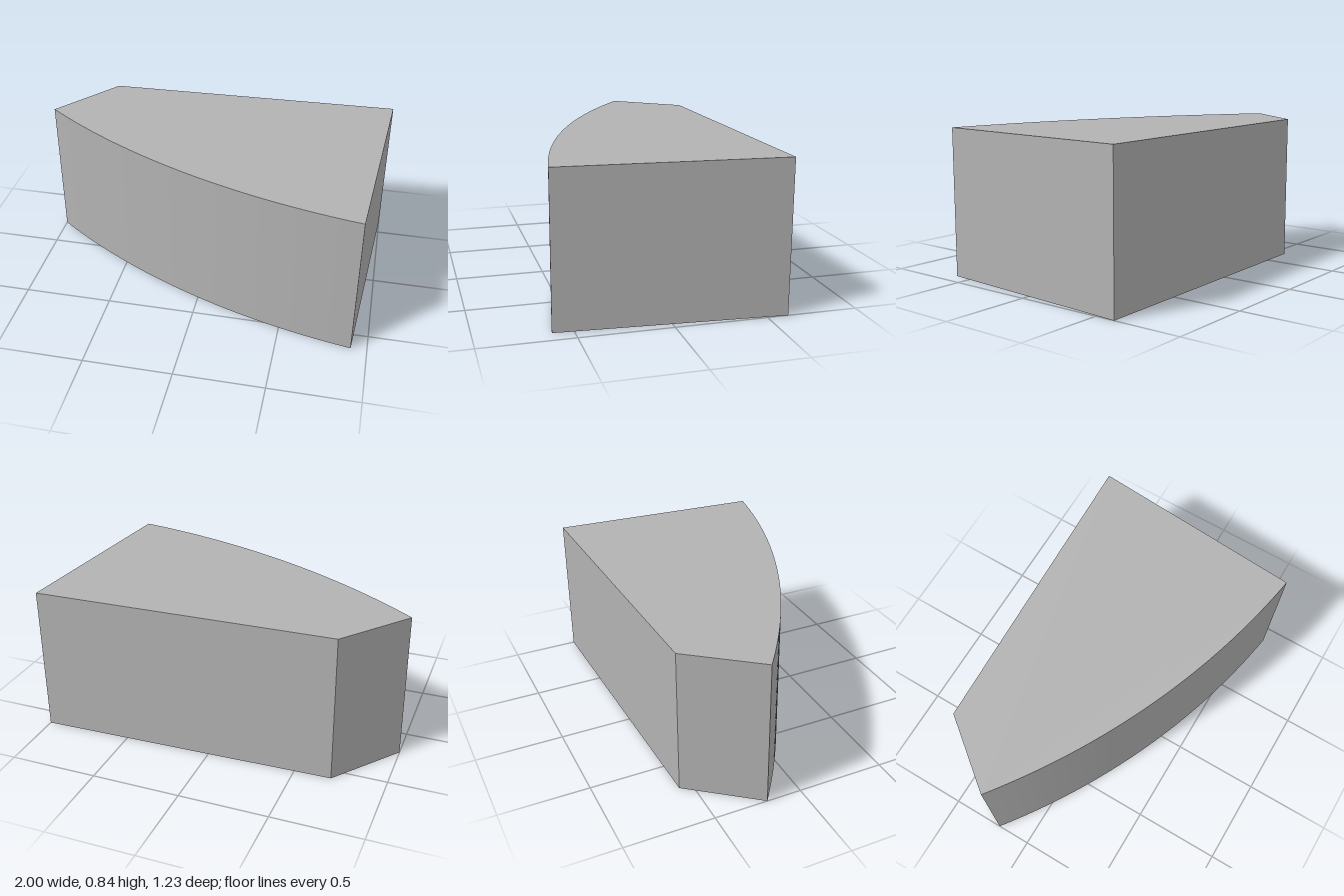
import * as THREE from 'three';

export function createModel() {
  const group = new THREE.Group();
  const grey = new THREE.MeshStandardMaterial({ color: 0xb2b2b2 });
  grey.name = 'grey';

  // Footprint in plan; shape y is -z
  const start = new THREE.Vector2(-1, 0.198);
  const end = new THREE.Vector2(0.911, -0.612);
  const bulge = 0.128; // height of the curved front wall's arc over its chord

  // Circle through both ends of the curved wall
  const chord = end.clone().sub(start);
  const half = chord.length() / 2;
  const radius = (half * half + bulge * bulge) / (2 * bulge);
  const inward = new THREE.Vector2(-chord.y, chord.x).normalize();
  const centre = start.clone().add(end).multiplyScalar(0.5).addScaledVector(inward, radius - bulge);
  const angleTo = (p) => Math.atan2(p.y - centre.y, p.x - centre.x);

  const plan = new THREE.Shape();
  plan.moveTo(start.x, start.y);
  plan.absarc(centre.x, centre.y, radius, angleTo(start), angleTo(end), false);
  plan.lineTo(1, 0.615);
  plan.lineTo(-0.706, 0.572);
  plan.closePath();

  // Upright block with one curved wall
  const geometry = new THREE.ExtrudeGeometry(plan, { depth: 0.84, bevelEnabled: false, curveSegments: 24 });
  geometry.rotateX(-Math.PI / 2);
  const block = new THREE.Mesh(geometry, grey);
  block.name = 'curvedBlock';
  group.add(block);
  return group;
}
